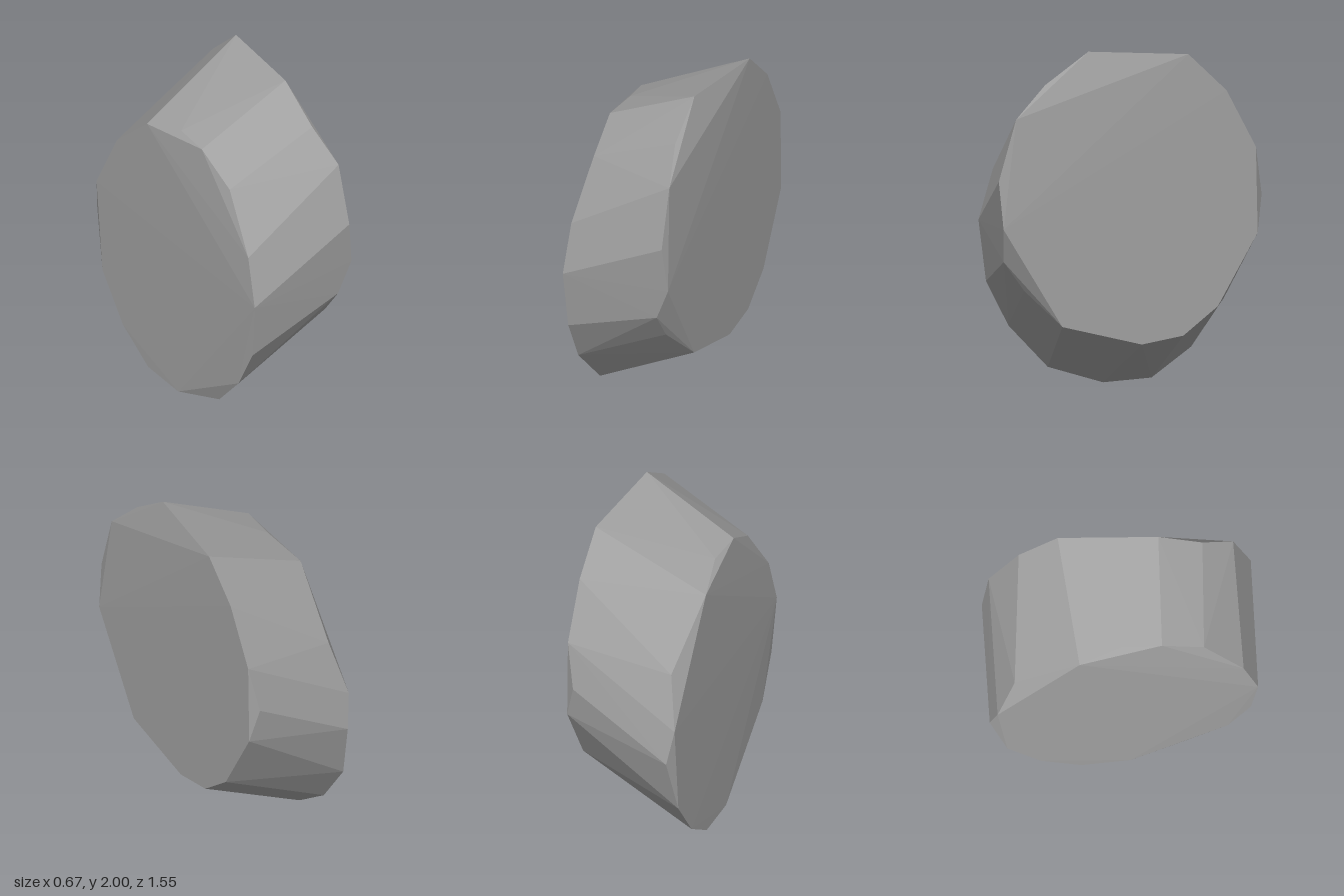
import * as THREE from 'three';
import { ConvexGeometry } from 'three/addons/geometries/ConvexGeometry.js';

// Chipped rim of the left (+x) face, the higher one: [x, y, z]
const leftRim = [
  [0.25, 2.0, 0.25], [0.25, 1.82, 0.5], [0.3, 1.64, 0.68], [0.3, 1.29, 0.78],
  [0.33, 1.02, 0.76], [0.25, 0.82, 0.74], [0.25, 0.65, 0.62], [0.33, 0.45, 0.42],
  [0.33, 0.33, -0.04], [0.33, 0.37, -0.28], [0.33, 0.53, -0.48], [0.33, 0.94, -0.71],
  [0.28, 1.15, -0.745], [0.33, 1.43, -0.7], [0.33, 1.76, -0.53], [0.325, 1.975, -0.31],
];

// Chipped rim of the right (-x) face, the lower one
const rightRim = [
  [-0.3, 1.73, 0.2], [-0.285, 1.58, 0.44], [-0.32, 1.25, 0.66], [-0.335, 0.96, 0.74],
  [-0.32, 0.61, 0.7], [-0.32, 0.35, 0.57], [-0.29, 0.11, 0.35], [-0.33, 0, 0.02],
  [-0.33, 0.015, -0.26], [-0.335, 0.18, -0.49], [-0.335, 0.45, -0.68], [-0.3, 0.81, -0.775],
  [-0.335, 1.02, -0.735], [-0.27, 1.33, -0.63], [-0.33, 1.66, -0.27], [-0.28, 1.73, -0.02],
];

export function createModel() {
  const group = new THREE.Group();
  group.name = 'rock';
  const stone = new THREE.MeshStandardMaterial({ color: 0xa0a0a0 });
  stone.name = 'grey stone';

  // Slanted slab of stone: flat facets stretched between the two rims
  const points = [...leftRim, ...rightRim].map((p) => new THREE.Vector3(...p));
  const slab = new THREE.Mesh(new ConvexGeometry(points), stone);
  slab.name = 'stoneSlab';
  group.add(slab);
  return group;
}
